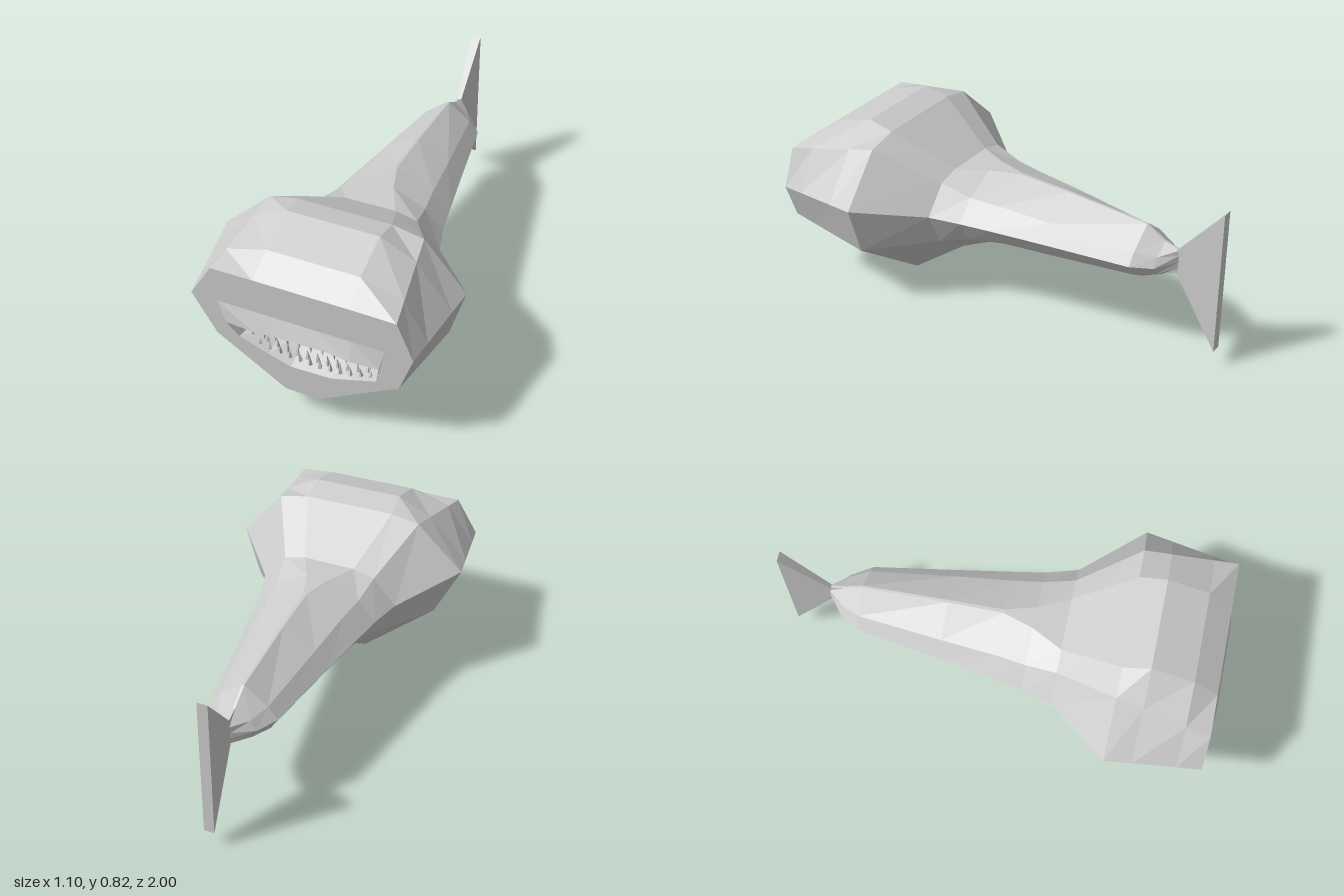
import * as THREE from 'three';

const grey = new THREE.MeshStandardMaterial({ color: 0xcccccc, flatShading: true, side: THREE.DoubleSide });
grey.name = 'grey skin';

const V = (x, y, z) => new THREE.Vector3(x, y, z);

// Mesh from a list of polygons (each a fan of Vector3 corners)
function polyMesh(name, polys) {
  const pts = [];
  for (const p of polys) for (let i = 1; i < p.length - 1; i++) pts.push(p[0], p[i], p[i + 1]);
  const g = new THREE.BufferGeometry().setFromPoints(pts);
  g.computeVertexNormals();
  const m = new THREE.Mesh(g, grey);
  m.name = name;
  return m;
}

// Skin between cross-sections running front to back, each counterclockwise from the front
function loft(rings) {
  const polys = [];
  for (let k = 0; k < rings.length - 1; k++) {
    const a = rings[k], b = rings[k + 1], n = a.length;
    for (let i = 0; i < n; i++) {
      const j = (i + 1) % n;
      polys.push([a[i], b[i], b[j]], [a[i], b[j], a[j]]);
    }
  }
  return polys;
}

const ringAt = (z, xy) => xy.map(([x, y]) => V(x, y, z));

// Symmetric body section: ridge, shoulder, side, flank, belly as [x, y]
function bodyRing(z, half) {
  const left = half.map(([x, y]) => V(-x, y, z));
  const right = half.map(([x, y]) => V(x, y, z)).reverse();
  return [...left, ...right];
}

export function createModel() {
  const model = new THREE.Group();
  model.name = 'fish';

  // Head sections, slightly lopsided
  const face = [[-0.2, 0.68], [-0.39, 0.68], [-0.49, 0.52], [-0.385, 0.335], [-0.08, 0.13],
    [0.07, 0.125], [0.43, 0.33], [0.49, 0.5], [0.42, 0.67], [0.22, 0.675]];
  const front = ringAt(0.97, face);
  const cheek = ringAt(0.55, [[-0.2, 0.79], [-0.33, 0.765], [-0.55, 0.56], [-0.43, 0.31], [-0.09, 0.01],
    [0.08, 0], [0.48, 0.295], [0.55, 0.53], [0.36, 0.755], [0.22, 0.785]]);
  const between = (z, y) => {
    const t = (0.97 - z) / 0.42;
    const r = front.map((p, i) => p.clone().lerp(cheek[i], t));
    r[0].set(-0.19, y, z);
    r[9].set(0.22, y - 0.004, z);
    return r;
  };
  model.add(polyMesh('head', loft([front, between(0.86, 0.757), between(0.67, 0.817), cheek])));

  // Body narrowing to the tail root
  const body = [
    cheek,
    bodyRing(0.28, [[0.12, 0.63], [0.22, 0.605], [0.325, 0.48], [0.25, 0.32], [0.07, 0.2]]),
    bodyRing(0.14, [[0.05, 0.635], [0.2, 0.565], [0.285, 0.472], [0.22, 0.36], [0.06, 0.265]]),
    bodyRing(0, [[0.008, 0.637], [0.18, 0.557], [0.26, 0.47], [0.2, 0.385], [0.05, 0.29]]),
    bodyRing(-0.25, [[0.006, 0.625], [0.155, 0.54], [0.218, 0.465], [0.17, 0.39], [0.04, 0.31]]),
    bodyRing(-0.64, [[0.005, 0.592], [0.11, 0.51], [0.155, 0.455], [0.12, 0.4], [0.03, 0.345]]),
    bodyRing(-0.73, [[0.005, 0.537], [0.07, 0.49], [0.1, 0.448], [0.08, 0.41], [0.02, 0.38]]),
    bodyRing(-0.8, [[0.005, 0.515], [0.01, 0.49], [0.012, 0.46], [0.012, 0.43], [0.01, 0.405]]),
  ];
  model.add(polyMesh('body', loft(body)));

  // Tail fin: thin wedge flaring to the back
  const finRing = (z, w, top, low) => ringAt(z, [[w, top], [-w, top], [-w, low], [w, low]]);
  const finBack = finRing(-1, 0.024, 0.76, 0.08);
  model.add(polyMesh('tailFin', [...loft([finRing(-0.79, 0.01, 0.515, 0.405), finBack]), [...finBack].reverse()]));

  // Face plate with the mouth opening
  const upper = [[-0.33, 0.425], [-0.2, 0.43], [-0.1, 0.438], [0.13, 0.44], [0.23, 0.425], [0.35, 0.415]];
  const lower = [[-0.28, 0.35], [-0.15, 0.3], [-0.05, 0.265], [0.13, 0.268], [0.22, 0.295], [0.33, 0.33]];
  const brow = upper.map((p, i) => [-0.37 + i * 0.148, 0.515 - i * 0.002]);
  const v2 = (list) => list.map(([x, y]) => new THREE.Vector2(x, y));
  const plate = new THREE.Shape(v2(face));
  plate.holes.push(new THREE.Path(v2([brow[0], upper[0], ...lower, upper[5], ...[...brow].reverse().slice(0, 5)])));
  const faceMesh = new THREE.Mesh(new THREE.ShapeGeometry(plate), grey);
  faceMesh.position.z = 0.97;
  faceMesh.name = 'face';
  model.add(faceMesh);

  // Protruding upper lip and the wedge-shaped mouth behind it
  const lip = upper.map(([x, y], i) => V(x, y, i === 0 || i === 5 ? 0.985 : 1));
  const chin = ringAt(0.97, lower);
  const top = ringAt(0.97, brow);
  const throat = lower.map(([x]) => V(x * 0.95, 0.338, 0.78));
  const lipFaces = [], mouthFaces = [];
  for (let i = 0; i < 5; i++) {
    lipFaces.push([top[i], lip[i], lip[i + 1], top[i + 1]]);
    mouthFaces.push([lip[i], throat[i], throat[i + 1], lip[i + 1]]);
    mouthFaces.push([chin[i], chin[i + 1], throat[i + 1], throat[i]]);
  }
  for (const [i, s] of [[0, -1], [5, 1]]) {
    const corner = V(upper[i][0], upper[i][1], 0.97);
    lipFaces.push(s < 0 ? [top[i], corner, lip[i]] : [top[i], lip[i], corner]);
    mouthFaces.push(s < 0 ? [lip[i], corner, chin[i], throat[i]] : [lip[i], throat[i], chin[i], corner]);
  }
  model.add(polyMesh('upperLip', lipFaces), polyMesh('mouth', mouthFaces));

  // Two uneven rows of teeth
  let seed = 7;
  const rand = () => (seed = (seed * 16807) % 2147483647) / 2147483647;
  const toothGeometry = new THREE.ConeGeometry(1, 1, 4);
  const teeth = new THREE.Group();
  teeth.name = 'teeth';
  const addTooth = (name, x, y, z, h, dir) => {
    const t = new THREE.Mesh(toothGeometry, grey);
    t.name = name;
    t.scale.set(0.011, h, 0.011);
    t.position.set(x, y + dir * h / 2, z);
    t.rotation.set(dir < 0 ? Math.PI : 0, rand() * 2, (rand() - 0.5) * 0.25);
    teeth.add(t);
  };
  for (let i = 0; i < 24; i++) {
    const u = i / 23, edge = Math.abs(2 * u - 1);
    addTooth('upperTooth', -0.27 + 0.6 * u, 0.432 - 0.02 * edge * edge, 0.965 - 0.03 * (i % 2),
      0.055 - 0.025 * edge * edge + 0.012 * rand(), -1);
    addTooth('lowerTooth', -0.2 + 0.52 * u, 0.285 + 0.035 * edge * edge, 0.945 - 0.025 * (i % 2),
      0.045 - 0.02 * edge * edge + 0.015 * rand(), 1);
  }
  model.add(teeth);
  return model;
}
